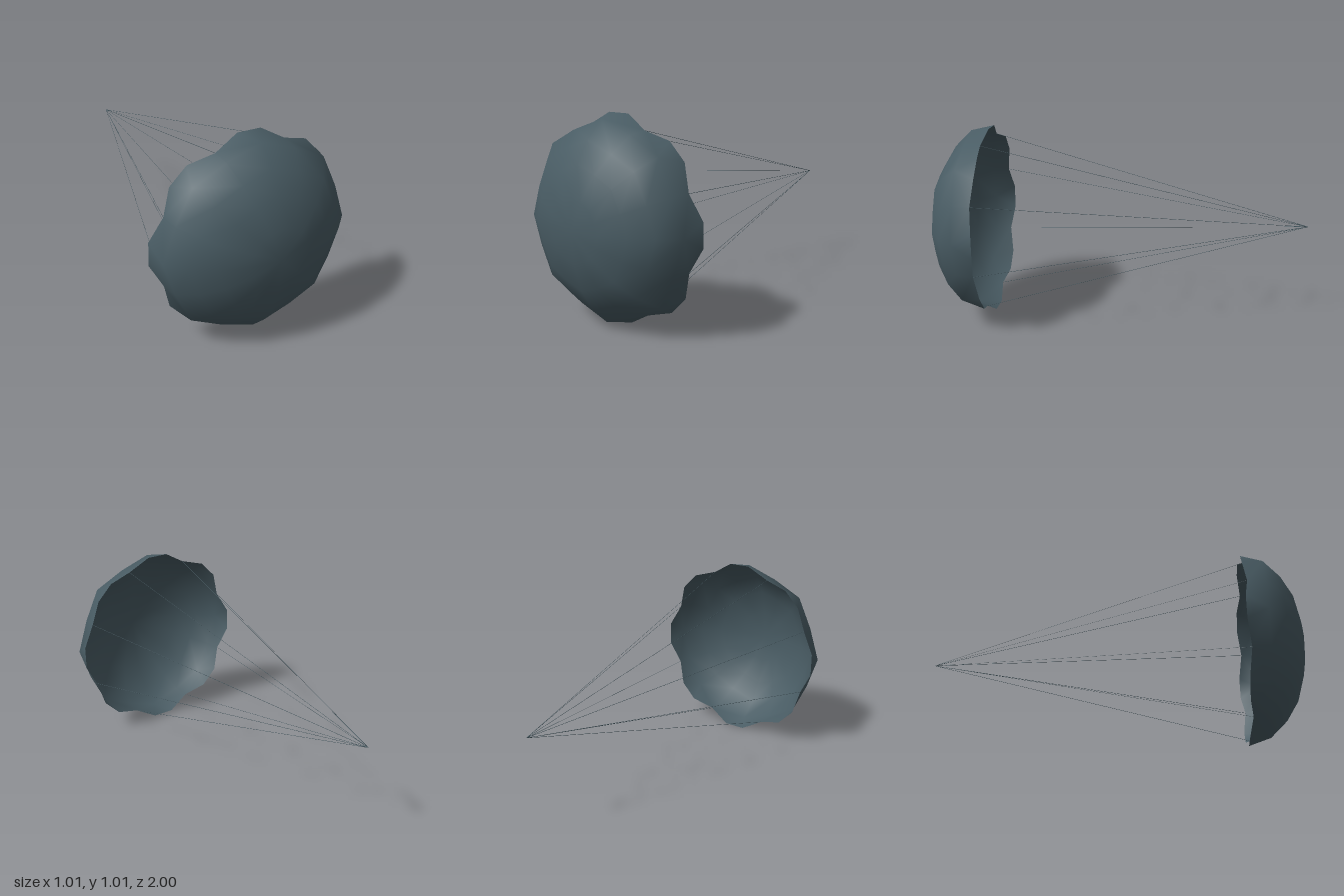
import * as THREE from 'three';

const GORES = 8;
const SIDES = GORES * 2;
const CENTER_Y = 0.506;
const STEP = (Math.PI * 2) / GORES;

// Point at a given angle and radius around the canopy axis (the z axis)
const polar = (angle, r, z) =>
  new THREE.Vector3(Math.cos(angle) * r, CENTER_Y + Math.sin(angle) * r, z);

// Dome with slightly drawn-in seams and a scalloped skirt
function canopyGeometry() {
  const points = [polar(0, 0, 1)];
  const index = [];
  const rings = [[0.155, 0.986], [0.295, 0.945], [0.4, 0.88], [0.487, 0.792]];
  const at = (ring, k) => 1 + ring * SIDES + (k % SIDES);

  // Even points lie on the middle of a gore, odd points on a seam
  for (const [r, z] of rings)
    for (let k = 0; k < SIDES; k++)
      points.push(polar((k * STEP) / 2, k % 2 ? r * 0.948 : r, z));

  for (let k = 0; k < SIDES; k++) {
    index.push(0, at(0, k), at(0, k + 1));
    for (let i = 0; i < rings.length - 1; i++) {
      const a = at(i, k), b = at(i, k + 1), c = at(i + 1, k), d = at(i + 1, k + 1);
      index.push(a, c, d, a, d, b);
    }
  }

  // Rim: two lobe points and one notch point for each gore
  const rim = points.length;
  const last = rings.length - 1;
  const lobe = THREE.MathUtils.degToRad(6.9);
  for (let k = 0; k < GORES; k++) {
    points.push(
      polar(k * STEP - lobe, 0.509, 0.683),
      polar(k * STEP + lobe, 0.509, 0.683),
      polar((k + 0.5) * STEP, 0.474, 0.7),
    );
    const top = at(last, k * 2), seam = at(last, k * 2 + 1), nextTop = at(last, k * 2 + 2);
    const left = rim + k * 3, right = left + 1, notch = left + 2;
    const nextLeft = rim + ((k + 1) % GORES) * 3;
    index.push(top, left, right, top, right, notch, top, notch, seam);
    index.push(seam, notch, nextTop, nextTop, notch, nextLeft);
  }

  const geometry = new THREE.BufferGeometry().setFromPoints(points);
  geometry.setIndex(index);
  geometry.computeVertexNormals();
  return geometry;
}

// Thin straight cord between two points
function cord(from, to, material) {
  const length = from.distanceTo(to);
  const mesh = new THREE.Mesh(
    new THREE.CylinderGeometry(0.001, 0.001, length, 4, 1, true), material);
  mesh.position.copy(from).lerp(to, 0.5);
  mesh.quaternion.setFromUnitVectors(
    new THREE.Vector3(0, 1, 0), to.clone().sub(from).normalize());
  mesh.name = 'cord';
  return mesh;
}

export function createModel() {
  const model = new THREE.Group();
  model.name = 'parachute';

  const slate = new THREE.MeshStandardMaterial({ color: 0x495c64, side: THREE.DoubleSide });
  slate.name = 'slate';

  const canopy = new THREE.Mesh(canopyGeometry(), slate);
  canopy.name = 'canopy';
  model.add(canopy);

  // Cords run from the rim notches to one point behind
  const cords = new THREE.Group();
  cords.name = 'cords';
  const knot = polar(0, 0, -1);
  for (let k = 0; k < GORES; k++)
    cords.add(cord(polar((k + 0.5) * STEP, 0.474, 0.7), knot, slate));
  model.add(cords);

  return model;
}
